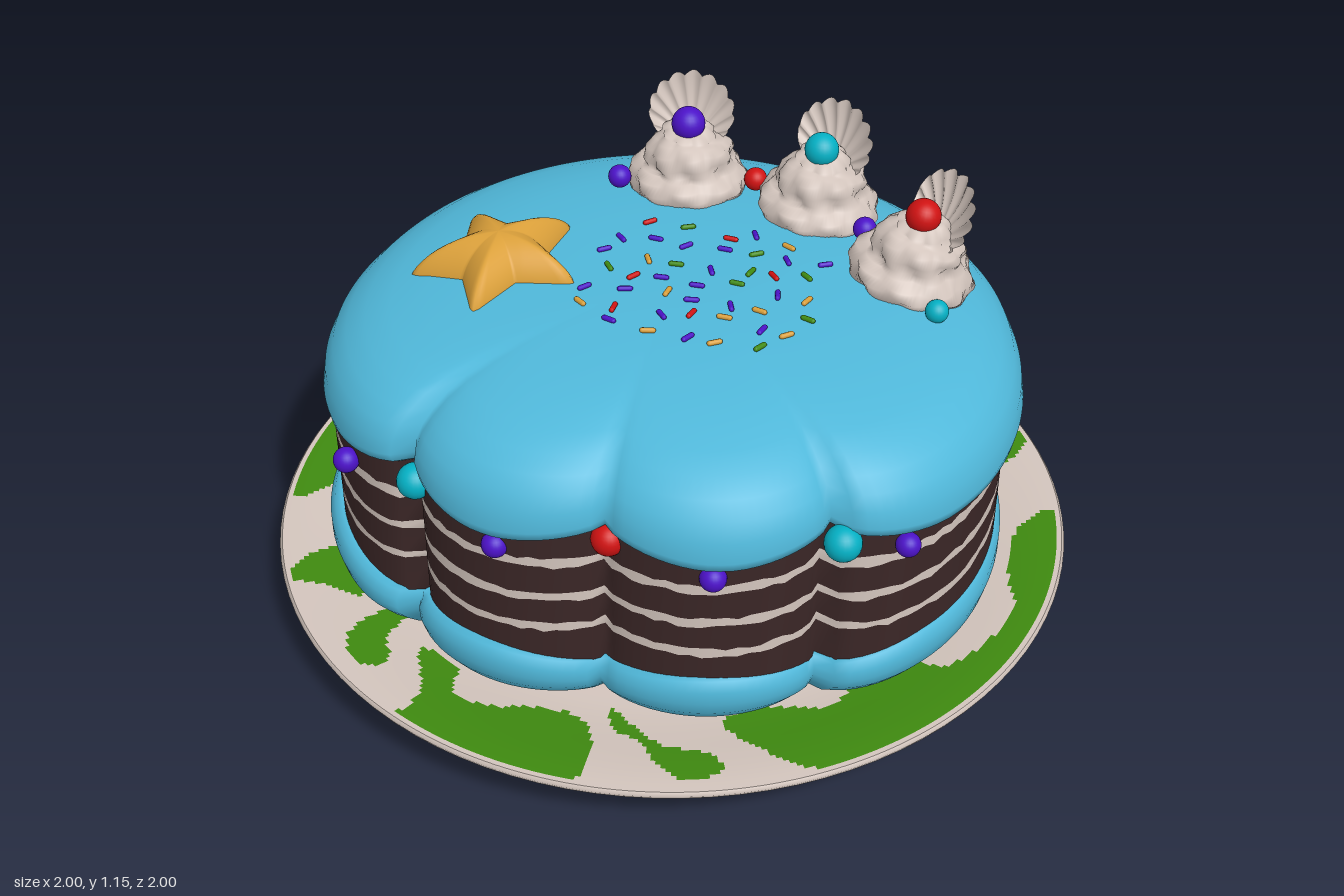
import * as THREE from 'three';

const mat = (name, color, side = THREE.FrontSide) => {
  const m = new THREE.MeshStandardMaterial({ color, side });
  m.name = name;
  return m;
};

let seed = 7;
const rand = () => (seed = (seed * 16807) % 2147483647) / 2147483647;
const smooth = THREE.MathUtils.smoothstep;

// Surface from nu rows and nv columns; f(i, angle or column) gives a point; keep() filters cells
function grid(nu, nv, f, { wrap = true, keep } = {}) {
  const cols = wrap ? nv : nv + 1, pos = [], all = [], kept = [];
  for (let i = 0; i <= nu; i++) {
    for (let j = 0; j < cols; j++) pos.push(...f(i, wrap ? (j / nv) * Math.PI * 2 : j / nv, j));
  }
  for (let i = 0; i < nu; i++) {
    for (let j = 0; j < nv; j++) {
      const a = i * cols + j, b = i * cols + (j + 1) % cols, c = a + cols, d = b + cols;
      const cell = [a, b, d, a, d, c];
      all.push(...cell);
      if (!keep || keep(i, j)) kept.push(...cell);
    }
  }
  const g = new THREE.BufferGeometry();
  g.setAttribute('position', new THREE.Float32BufferAttribute(pos, 3));
  g.setIndex(all);
  g.computeVertexNormals();
  g.setIndex(kept);
  return g;
}

// Cake outline: round at the back, four lobes at the front (angle 0 is +z)
const degrees = (phi) => Math.abs(Math.atan2(Math.sin(phi), Math.cos(phi))) * 180 / Math.PI;
function outline(phi, k = 1) {
  const a = degrees(phi);
  let m = 1;
  if (a < 40) m = 0.93 + 0.03 * a / 40 + 0.11 * Math.pow(Math.sin(Math.PI * a / 40), 0.7);
  else if (a < 110) {
    const t = (a - 40) / 70;
    m = 0.96 + 0.04 * smooth(t, 0, 1) + 0.385 * (1 - t) ** 2 * Math.sqrt(t);
  }
  const r = 1 / Math.hypot(Math.sin(phi) / 0.82, Math.cos(phi) / 0.745);
  return r * (1 + (m - 1) * k);
}
const notch = (phi) => {
  const a = degrees(phi);
  return Math.max(0, 1 - Math.min(a, Math.abs(a - 40)) / 18) ** 1.3;
};
const at = (phi, r, y, dx = 0) => [dx + r * Math.sin(phi), y, 0.01 + r * Math.cos(phi)];

// Top icing profile as [scale, height]
const DOME = [[0.93, 0.66], [0.975, 0.632], [0.995, 0.638], [1, 0.66], [0.99, 0.71], [0.965, 0.755],
  [0.925, 0.79], [0.87, 0.82], [0.8, 0.843], [0.7, 0.862], [0.6, 0.875], [0.45, 0.886], [0.3, 0.89], [0.15, 0.891], [0, 0.891]];
const domeLobes = (s) => smooth(s, 0.2, 0.9);
function domeY(x, z) {
  const phi = Math.atan2(x - 0.02, z - 0.01), d = Math.hypot(x - 0.02, z - 0.01);
  const s = d / outline(phi, domeLobes(d / 0.78));
  for (let i = DOME.length - 1; i > 3; i--) {
    const [s0, y0] = DOME[i], [s1, y1] = DOME[i - 1];
    if (s <= s1) return y0 + (y1 - y0) * (s - s0) / (s1 - s0);
  }
  return 0.66;
}

// Painted plate swirls as closed x, z outlines; each is repeated half a turn round
const SWIRLS = [
  [0.01, -1.03, 0.25, -1.03, 0.45, -0.93, 0.41, -0.8, 0.46, -0.64, 0.36, -0.68, 0.34, -0.77, 0.25, -0.79, 0.14, -0.76, 0.03, -0.77, -0.02, -0.86],
  [-0.33, -0.87, -0.25, -0.92, -0.17, -0.88, -0.13, -0.82, -0.05, -0.79, -0.03, -0.72, -0.1, -0.77, -0.18, -0.82, -0.28, -0.82],
  [-0.7, -0.76, -0.55, -0.82, -0.37, -0.77, -0.29, -0.7, -0.38, -0.63, -0.52, -0.6, -0.58, -0.48, -0.68, -0.4, -0.76, -0.42, -0.86, -0.3, -0.93, -0.12, -1.02, -0.1, -0.97, -0.32, -0.85, -0.55],
  [-1.03, -0.15, -0.92, -0.18, -0.87, -0.05, -0.87, 0.1, -0.94, 0.2, -1.03, 0.15],
  [0.52, -0.72, 0.59, -0.74, 0.64, -0.66, 0.61, -0.56, 0.52, -0.48, 0.55, -0.62],
  [-0.86, 0.5, -0.8, 0.36, -0.71, 0.36, -0.66, 0.5, -0.76, 0.5],
].flatMap((p) => {
  const pts = [];
  for (let i = 0; i < p.length; i += 2) pts.push(new THREE.Vector3(p[i], 0, p[i + 1]));
  const c = new THREE.CatmullRomCurve3(pts, true).getPoints(60);
  return [c, c.map((v) => v.clone().negate())];
});
const inside = (poly, x, z) => {
  let hit = false;
  for (let i = 0, j = poly.length - 1; i < poly.length; j = i++) {
    const a = poly[i], b = poly[j];
    if ((a.z > z) !== (b.z > z) && x < (b.x - a.x) * (z - a.z) / (b.z - a.z) + a.x) hit = !hit;
  }
  return hit;
};

export function createModel() {
  const cake = new THREE.Group();
  const cream = mat('cream', 0xd3c5bd, THREE.DoubleSide), blue = mat('icingBlue', 0x50b8da);
  const brown = mat('chocolate', 0x3a2626), gold = mat('gold', 0xdba03a), green = mat('green', 0x3f8a10);
  const purple = mat('purple', 0x4c12c8), teal = mat('teal', 0x04b0c4), red = mat('red', 0xd01212);
  const add = (name, geo, material, parent = cake) => {
    const m = new THREE.Mesh(geo, material);
    m.name = name;
    parent.add(m);
    return m;
  };

  // Plate underside with foot ring
  const under = [[0, 0.03], [0.35, 0.03], [0.365, 0.025], [0.38, 0.005], [0.395, 0], [0.41, 0.004], [0.42, 0.03], [0.44, 0.04],
    [0.6, 0.053], [0.75, 0.073], [0.88, 0.1], [0.97, 0.13], [0.995, 0.142], [1, 0.152], [0.993, 0.16]];
  add('plateUnderside', grid(under.length - 1, 96, (i, p) => [under[i][0] * Math.sin(p), under[i][1], under[i][0] * Math.cos(p)]), cream);

  // Plate top, split into bare and painted cells
  const N = 480, ROWS = 36, ringR = (i) => (i > ROWS ? 0 : 0.993 - 0.45 * i / ROWS);
  const topPoint = (i, p) => [ringR(i) * Math.sin(p), 0.13 + 0.03 * smooth(ringR(i), 0.7, 0.98), ringR(i) * Math.cos(p)];
  const painted = (i, j) => {
    const r = ringR(i + 0.5), p = (j + 0.5) / N * Math.PI * 2;
    return i > 0 && i < ROWS && SWIRLS.some((s) => inside(s, r * Math.sin(p), r * Math.cos(p)));
  };
  add('plateTop', grid(ROWS + 1, N, topPoint, { keep: (i, j) => !painted(i, j) }), cream);
  add('plateSwirls', grid(ROWS + 1, N, topPoint, { keep: painted }), green);

  // Lower icing
  const low = [[0.88, 0.125], [0.93, 0.145], [0.965, 0.17], [0.99, 0.2], [1, 0.235], [1, 0.27], [0.985, 0.295], [0.965, 0.302], [0.93, 0.29]];
  add('lowerIcing', grid(low.length - 1, 180, (i, p) =>
    at(p, low[i][0] * outline(p), low[i][1] - 0.035 * notch(p) * smooth(low[i][1], 0.15, 0.29))), blue);

  // Sponge and cream layers with ragged edges
  const levels = [0.24, 0.364, 0.386, 0.454, 0.477, 0.553, 0.578, 0.69];
  const ragged = levels.map((y) => Array.from({ length: 180 }, () => y + (rand() - 0.5) * 0.01));
  for (let k = 0; k < levels.length - 1; k++) {
    add(k % 2 ? 'creamLayer' : 'spongeLayer',
      grid(1, 180, (i, p, j) => at(p, 0.97 * outline(p), ragged[k + i][j], 0.01)), k % 2 ? cream : brown);
  }

  // Domed top icing
  add('topIcing', grid(DOME.length - 1, 180, (i, p) => {
    const [s, y] = DOME[i];
    return at(p, s * outline(p, domeLobes(s)), y + 0.035 * notch(p) * (1 - smooth(y, 0.63, 0.8)), 0.02);
  }), blue);

  // Puffy star following the dome
  const starR = (p) => {
    const t = Math.abs(((p / (Math.PI * 2) * 5 + 0.5) % 1) - 0.5) * 2;
    const a = t * Math.PI / 5, edge = 0.228 * 0.5 * Math.sin(Math.PI / 5) /
      (0.5 * Math.sin(Math.PI / 5 - a) + Math.sin(a));
    return Math.min(edge, 0.216);
  };
  add('star', grid(12, 120, (i, p) => {
    const t = Math.cos(i / 12 * Math.PI / 2), r = starR(p) * t;
    const x = -0.41 + r * Math.sin(p), z = 0.055 + r * Math.cos(p);
    return [x, domeY(x, z) - 0.012 + 0.095 * Math.pow(1 - t * t, 0.6), z];
  }), gold);

  // Sprinkles scattered over the top
  const rod = new THREE.CapsuleGeometry(0.0065, 0.025, 3, 8);
  const tints = [red, purple, green, gold, purple];
  for (let i = 0; i < 7; i++) {
    for (let j = 0; j < 7; j++) {
      if ((i % 6 === 0 && j % 6 === 0) || rand() < 0.08) continue;
      const x = -0.16 + i * 0.083 + (rand() - 0.5) * 0.045, z = -0.16 + j * 0.07 + (rand() - 0.5) * 0.04;
      const m = add('sprinkle', rod, tints[Math.floor(rand() * 5)]);
      m.position.set(x, domeY(x, z) + 0.004, z);
      m.rotation.set(0, rand() * Math.PI, Math.PI / 2);
    }
  }

  // Piped rosettes, each with a pearl and an open shell
  const swirl = [[0.11, -0.04], [0.143, -0.01], [0.152, 0.02], [0.142, 0.045], [0.12, 0.065], [0.105, 0.073], [0.112, 0.09],
    [0.105, 0.112], [0.085, 0.128], [0.066, 0.135], [0.066, 0.148], [0.045, 0.162], [0, 0.166]];
  const rosetteGeo = grid(swirl.length - 1, 96, (i, p) => {
    const [r, y] = swirl[i], rr = r * (0.9 + 0.13 * Math.abs(Math.sin(4 * (p + y * 9))));
    return [rr * Math.sin(p), y + 0.008 * Math.sin(p + i), rr * Math.cos(p)];
  });
  const shellGeo = grid(10, 88, (i, v) => {
    const u = i / 10, a = (v - 0.5) * 2.75, rib = Math.abs(Math.sin(v * Math.PI * 11));
    const L = 0.182 * u * Math.pow(Math.cos(a), 0.6) * (0.96 + 0.06 * rib);
    return [L * Math.sin(a), L * Math.cos(a), 0.05 * u * u - 0.045 * u - 0.008 * u * rib + 0.02 * Math.abs(Math.sin(a)) * u];
  }, { wrap: false });
  const ball = new THREE.SphereGeometry(1, 24, 16);
  const pearl = (x, y, z, r, material, parent) => {
    const m = add('pearl', ball, material, parent);
    m.position.set(x, y, z);
    m.scale.setScalar(r);
  };
  for (const [x, z, yaw, lean, tint] of [[-0.055, -0.405, 0.08, 0, purple], [0.285, -0.36, -0.45, -0.05, teal], [0.55, -0.135, -0.9, -0.17, red]]) {
    const g = new THREE.Group();
    g.name = 'rosette';
    g.position.set(x, domeY(x, z), z);
    g.rotation.set(0, yaw, lean, 'ZYX');
    cake.add(g);
    add('swirl', rosetteGeo, cream, g);
    const shell = add('shell', shellGeo, cream, g);
    shell.position.set(0, 0.095, -0.035);
    shell.rotation.x = -0.25;
    pearl(0, 0.175, 0.01, 0.042, tint, g);
  }

  // Loose pearls on top and along the icing edge
  for (const [x, y, z, r, tint] of [
    [-0.215, 0.915, -0.33, 0.029, purple], [0.118, 0.913, -0.4, 0.029, red], [0.42, 0.905, -0.25, 0.029, purple], [0.635, 0.873, 0.01, 0.028, teal],
    [-0.65, 0.594, 0.53, 0.031, purple], [-0.455, 0.625, 0.6, 0.043, teal], [-0.225, 0.596, 0.735, 0.031, purple], [0.025, 0.63, 0.695, 0.04, red],
    [0.27, 0.6, 0.735, 0.031, purple], [0.53, 0.64, 0.6, 0.043, teal], [0.665, 0.604, 0.53, 0.029, purple],
  ]) pearl(x, y, z, r, tint);

  return cake;
}
